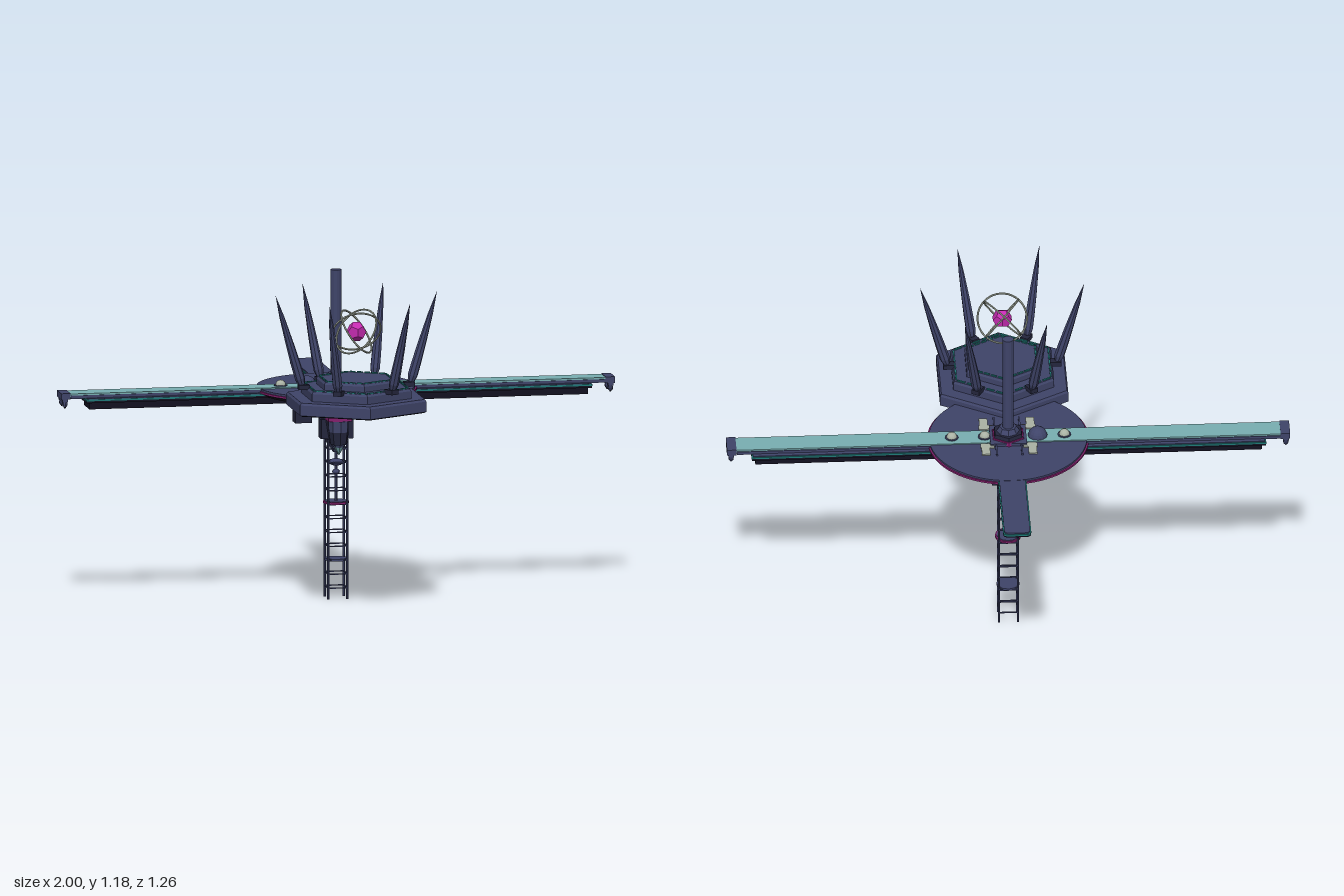
import * as THREE from 'three';

const mat = (name, color) => {
  const m = new THREE.MeshStandardMaterial({ color, flatShading: true });
  m.name = name;
  return m;
};

export function createModel() {
  const navy = mat('navyHull', 0x3f4469);
  const dark = mat('darkHull', 0x24263d);
  const black = mat('blackUnderside', 0x121120);
  const teal = mat('tealTrim', 0x1f7a78);
  const glass = mat('paleTealDeck', 0x79afb2);
  const purple = mat('purpleTrim', 0x84206e);
  const magenta = mat('magentaCore', 0xc42bb0);
  const pale = mat('paleMetal', 0xaab2a4);

  const root = new THREE.Group();
  const station = new THREE.Group(); // everything on the central axis
  station.name = 'station';
  station.position.z = -0.01;
  root.add(station);

  const add = (name, geo, m, x = 0, y = 0, z = 0, parent = station) => {
    const mesh = new THREE.Mesh(geo, m);
    mesh.name = name;
    mesh.position.set(x, y, z);
    parent.add(mesh);
    return mesh;
  };
  // box given by its lower and upper height
  const box = (name, m, w, y0, y1, d, x = 0, z = 0, parent = station) =>
    add(name, new THREE.BoxGeometry(w, y1 - y0, d), m, x, (y0 + y1) / 2, z, parent);
  // cylinder or cone given by its lower and upper height
  const cyl = (name, m, rTop, rBottom, y0, y1, sides, x = 0, z = 0, parent = station) =>
    add(name, new THREE.CylinderGeometry(rTop, rBottom, y1 - y0, sides), m, x, (y0 + y1) / 2, z, parent);
  // small hanging lamp: collar, body and blunt tip
  const lamp = (x, y, z, r) => {
    cyl('lampCollar', navy, r * 0.7, r, y - r, y, 8, x, z);
    cyl('lampBody', navy, r, r * 0.8, y - r * 1.8, y - r, 8, x, z);
    cyl('lampTip', dark, r * 0.6, r * 0.2, y - r * 2.5, y - r * 1.8, 8, x, z);
  };

  // Central disc with its purple rim and stepped underside
  cyl('disc', navy, 0.281, 0.281, 0.75, 0.764, 64);
  cyl('discRim', purple, 0.287, 0.287, 0.75, 0.757, 64);
  cyl('discUnderStep', black, 0.286, 0.255, 0.734, 0.75, 64);
  const belly = [[0, 0.68], [0.08, 0.682], [0.145, 0.698], [0.155, 0.715], [0.21, 0.722], [0.23, 0.736]]
    .map(([r, y]) => new THREE.Vector2(r, y));
  add('discBelly', new THREE.LatheGeometry(belly, 48), navy);

  // Two long side arms
  box('armDeck', glass, 1.932, 0.756, 0.768, 0.08);
  box('armDeckFrame', navy, 1.93, 0.75, 0.762, 0.086);
  for (const s of [-1, 1]) {
    box('armSlab', navy, 0.716, 0.744, 0.752, 0.117, s * 0.551);
    box('armSlabTrim', teal, 0.722, 0.743, 0.749, 0.126, s * 0.553);
    box('armSlabUnderside', black, 0.72, 0.736, 0.743, 0.125, s * 0.553);
    box('armBeam', black, 0.72, 0.712, 0.738, 0.1, s * 0.54);
    box('armEndCap', navy, 0.034, 0.748, 0.77, 0.084, s * 0.983);
    for (const z of [-0.03, 0.03]) {
      box('armEndTab', navy, 0.02, 0.738, 0.75, 0.018, s * 0.985, z);
      lamp(s * 0.985, 0.74, z, 0.01);
    }
  }

  // Rear walkway with a rounded end
  const walk = (w, length, r) => {
    const s = new THREE.Shape();
    s.moveTo(-w, 0).lineTo(w, 0).lineTo(w, length - r).quadraticCurveTo(w, length, w - r, length);
    s.lineTo(r - w, length).quadraticCurveTo(-w, length, -w, length - r);
    return s;
  };
  const walkway = (name, m, w, length, y, h) => {
    const g = new THREE.ExtrudeGeometry(walk(w, length, 0.02), { depth: h, bevelEnabled: false, curveSegments: 4 });
    g.rotateX(-Math.PI / 2);
    add(name, g, m, 0, y, 0);
  };
  walkway('rearWalkway', navy, 0.046, 0.617, 0.754, 0.009);
  walkway('rearWalkwayTrim', teal, 0.05, 0.621, 0.752, 0.006);
  walkway('rearWalkwayUnderside', black, 0.0495, 0.6205, 0.747, 0.005);
  for (const d of [0.235, 0.315, 0.4]) {
    lamp(0, 0.748, -d, 0.013);
    lamp(0, 0.744, d, 0.013);
  }

  // Mast with its footing
  box('mastPad', navy, 0.13, 0.764, 0.774, 0.12);
  cyl('mastPurpleRing', purple, 0.062, 0.066, 0.764, 0.778, 6);
  cyl('mastFoot', dark, 0.054, 0.059, 0.77, 0.792, 6);
  cyl('mastCollar', navy, 0.03, 0.042, 0.79, 0.81, 8);
  cyl('mast', navy, 0.02, 0.02, 0.77, 1.18, 12);

  // Deck fittings: pale plates, ribs and domes
  for (const s of [-1, 1]) {
    for (const t of [-1, 1]) {
      box('deckPlate', pale, 0.03, 0.762, 0.769, 0.07, s * 0.083, t * 0.08);
      box('deckPlateFoot', pale, 0.05, 0.762, 0.769, 0.022, s * 0.076, t * 0.06);
      box('deckRib', navy, 0.006, 0.764, 0.77, 0.08, s * 0.045, t * 0.08);
    }
  }
  const dome = (name, m, r, x, y = 0.766) =>
    add(name, new THREE.SphereGeometry(r, 12, 6, 0, Math.PI * 2, 0, Math.PI / 2), m, x, y, 0);
  for (const x of [-0.2, 0.083, 0.2]) {
    cyl('domeSeat', navy, 0.024, 0.024, 0.766, 0.771, 12, x);
    dome('deckDome', pale, 0.019, x, 0.77);
  }
  dome('largeDome', navy, 0.035, -0.105);

  // Engine hub under the disc
  cyl('hubNeck', navy, 0.075, 0.06, 0.655, 0.695, 12);
  cyl('hubCore', dark, 0.055, 0.038, 0.56, 0.66, 8);
  cyl('hubNozzle', navy, 0.032, 0.012, 0.525, 0.56, 8);
  for (const s of [-1, 1]) {
    const z = s * 0.053;
    box('podCap', purple, 0.085, 0.645, 0.69, 0.06, 0, z);
    cyl('podBody', navy, 0.038, 0.036, 0.605, 0.645, 8, 0, z);
    cyl('podTaper', dark, 0.036, 0.03, 0.56, 0.605, 8, 0, z);
    cyl('podBand', navy, 0.024, 0.02, 0.55, 0.56, 8, 0, z);
    cyl('podTip', glass, 0.018, 0.002, 0.522, 0.55, 8, 0, z);
    box('hubCheek', dark, 0.03, 0.575, 0.645, 0.05, s * 0.043);
  }
  box('sideBoxArm', dark, 0.09, 0.672, 0.7, 0.04, -0.09);
  box('sideBox', dark, 0.06, 0.635, 0.7, 0.055, -0.122);

  // Hanging spindle
  cyl('spindleRod', navy, 0.005, 0.005, 0.34, 0.54, 8);
  for (const [y, r, h] of [[0.488, 0.027, 0.013], [0.454, 0.014, 0.01]]) {
    add('spindleBead', new THREE.SphereGeometry(r, 12, 8), navy, 0, y, 0).scale.y = h / r;
  }

  // Ladder tower: four legs, square rungs, two round plates
  const q = 0.034;
  for (const x of [-q, q]) for (const z of [-q, q]) cyl('towerLeg', navy, 0.0045, 0.0045, 0, 0.575, 6, x, z);
  for (let i = 0; i < 11; i++) {
    const y = 0.04 + i * 0.05;
    for (const s of [-q, q]) {
      box('towerRung', navy, 2 * q, y - 0.002, y + 0.002, 0.004, 0, s);
      box('towerRung', navy, 0.004, y - 0.002, y + 0.002, 2 * q, s, 0);
    }
  }
  cyl('towerPlate', navy, 0.041, 0.041, 0.136, 0.144, 12);
  cyl('towerUpperPlate', navy, 0.041, 0.041, 0.34, 0.35, 12);
  cyl('towerPurpleRim', purple, 0.047, 0.047, 0.341, 0.348, 12);

  // Stepped hexagonal platform, points facing front and back
  const plat = new THREE.Group();
  plat.name = 'hexPlatform';
  plat.position.z = 0.37;
  root.add(plat);
  for (const [r, y0, y1] of [[0.263, 0.742, 0.787], [0.207, 0.785, 0.822], [0.15, 0.82, 0.85]]) {
    cyl('platformStep', navy, r - 0.006, r, y1 - 0.008, y1, 6, 0, 0, plat);
    cyl('platformWall', navy, r, r, y0, y1 - 0.008, 6, 0, 0, plat);
  }
  cyl('platformUnderside', black, 0.261, 0.255, 0.738, 0.742, 6, 0, 0, plat);

  // Dashed teal trim along the platform edges
  for (const [r, y] of [[0.194, 0.823], [0.138, 0.851]]) {
    for (let i = 0; i < 6; i++) {
      const side = new THREE.Group();
      side.rotation.y = i * Math.PI / 3;
      plat.add(side);
      for (let k = -2; k <= 2; k++) {
        box('edgeDash', teal, 0.006, y - 0.003, y + 0.003, r * 0.15, r * 0.866, k * r * 0.2, side);
      }
    }
  }

  // Six leaning spikes around the platform
  const spike = [[0, 0], [0.012, 0.008], [0.018, 0.03], [0.0175, 0.08], [0.0145, 0.16], [0.009, 0.26], [0, 0.344]]
    .map(([r, y]) => new THREE.Vector2(r, y));
  const spikeGeo = new THREE.LatheGeometry(spike, 8);
  for (let i = 0; i < 6; i++) {
    const holder = new THREE.Group();
    holder.rotation.y = i * Math.PI / 3;
    plat.add(holder);
    add('spike', spikeGeo, navy, 0.195, 0.825, 0, holder).rotation.z = -0.285;
    box('spikeSeat', dark, 0.04, 0.815, 0.832, 0.03, 0.19, 0, holder);
  }

  // Floating core inside three tilted rings
  add('core', new THREE.DodecahedronGeometry(0.036), magenta, 0, 1.017, 0, plat);
  for (let i = 0; i < 3; i++) {
    const ring = add('coreRing', new THREE.TorusGeometry(0.088, 0.0035, 6, 40), pale, 0, 1.017, 0, plat);
    ring.rotation.set(0.6, 0.05 + i * Math.PI * 2 / 3, 0, 'YXZ');
  }
  return root;
}
